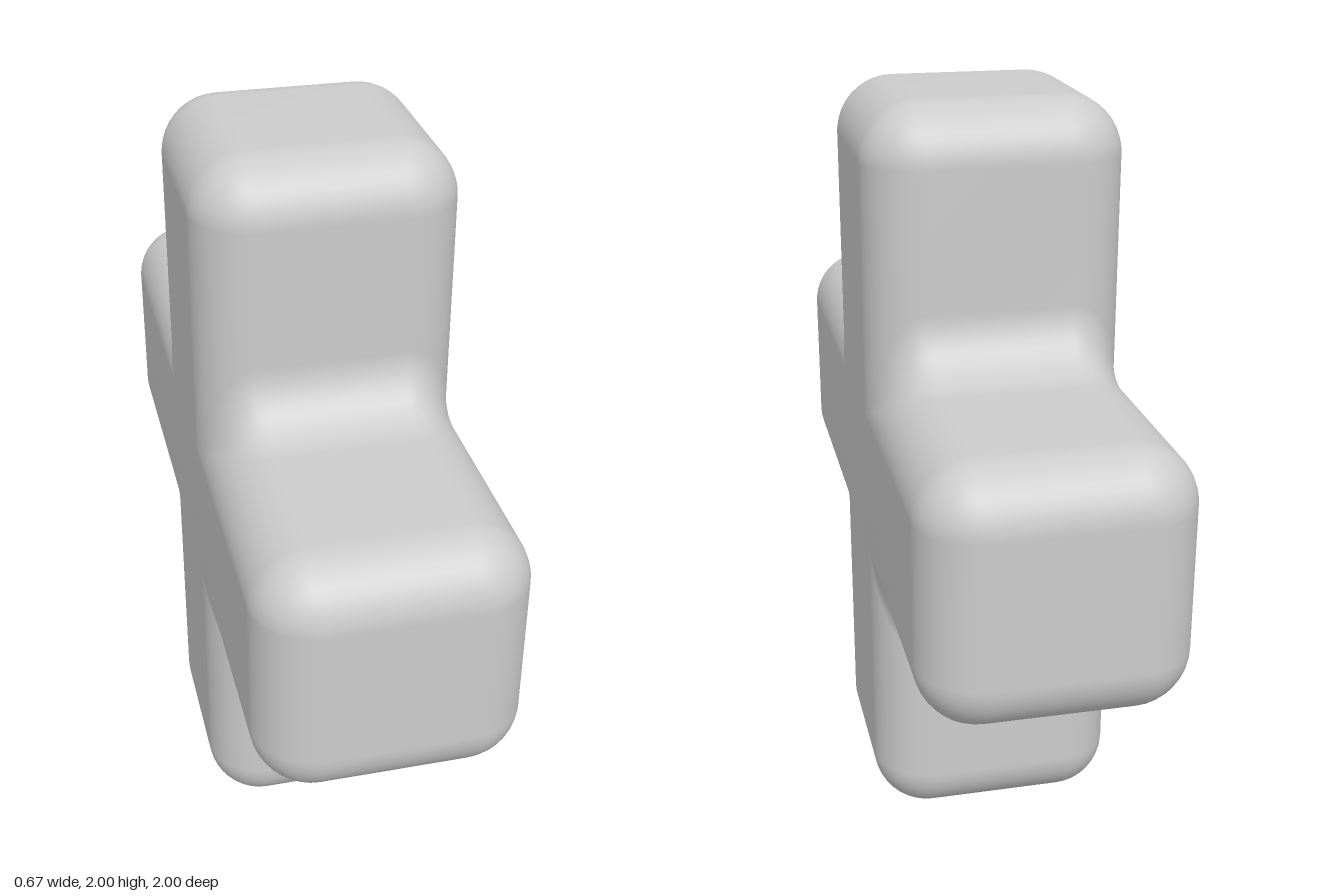
import * as THREE from 'three';
import { mergeVertices } from 'three/addons/utils/BufferGeometryUtils.js';

const HALF = 1 / 3;        // half width of an arm
const ROUND = 0.15;        // outer edge rounding
const FILLET = 0.16;       // inner corner fillet at mid depth
const CORE = HALF - ROUND; // half width of the flat faces
const STEPS = 10;          // segments per rounding

// Plus-shaped outline in (z, y); s runs from 0 (sharp flat face) to 1 (full section)
function outline(s) {
  const points = [];
  const r = ROUND * s, f = FILLET * s, w = CORE + r;
  const arc = (cz, cy, radius, from, to, turn) => {
    for (let k = 0; k <= STEPS; k++) {
      const a = from + (to - from) * k / STEPS;
      const p = new THREE.Vector2(cz + radius * Math.cos(a), cy + radius * Math.sin(a));
      points.push(p.rotateAround(new THREE.Vector2(), turn));
    }
  };
  for (let q = 0; q < 4; q++) {
    const turn = q * Math.PI / 2;
    arc(1 - ROUND, CORE, r, 0, Math.PI / 2, turn);
    arc(w + f, w + f, f, 1.5 * Math.PI, Math.PI, turn);
    arc(CORE, 1 - ROUND, r, 0, Math.PI / 2, turn);
  }
  return points;
}

function plusGeometry() {
  // Sections across x: rounding, straight middle, rounding
  const sections = [];
  for (const side of [-1, 1]) {
    for (let k = 0; k <= STEPS; k++) {
      const t = (side < 0 ? STEPS - k : k) / STEPS * Math.PI / 2;
      sections.push({ x: side * (CORE + ROUND * Math.sin(t)), s: Math.cos(t) });
    }
  }
  const positions = [], index = [];
  for (const { x, s } of sections) {
    for (const p of outline(s)) positions.push(x, 1 + p.y, p.x);
  }
  const n = 12 * (STEPS + 1), last = (sections.length - 1) * n;
  const centre = sections.length * n;
  positions.push(-HALF, 1, 0, HALF, 1, 0);
  for (let j = 0; j < n; j++) {
    const k = (j + 1) % n;
    for (let i = 0; i < last; i += n) {
      index.push(i + j, i + n + j, i + n + k, i + j, i + n + k, i + k);
    }
    // Flat faces
    index.push(centre, j, k, centre + 1, last + k, last + j);
  }
  let geometry = new THREE.BufferGeometry();
  geometry.setAttribute('position', new THREE.Float32BufferAttribute(positions, 3));
  geometry.setIndex(index);
  geometry = mergeVertices(geometry, 1e-5);

  // Drop triangles collapsed at the sharp corners
  const merged = geometry.index.array, kept = [];
  for (let i = 0; i < merged.length; i += 3) {
    const [a, b, c] = merged.slice(i, i + 3);
    if (a !== b && b !== c && c !== a) kept.push(a, b, c);
  }
  geometry.setIndex(kept);
  geometry.computeVertexNormals();
  return geometry;
}

export function createModel() {
  const group = new THREE.Group();
  group.name = 'roundedPlus';
  const body = new THREE.Mesh(plusGeometry(), new THREE.MeshStandardMaterial({ color: 0xcccccc }));
  body.name = 'plusBody';
  group.add(body);
  return group;
}
